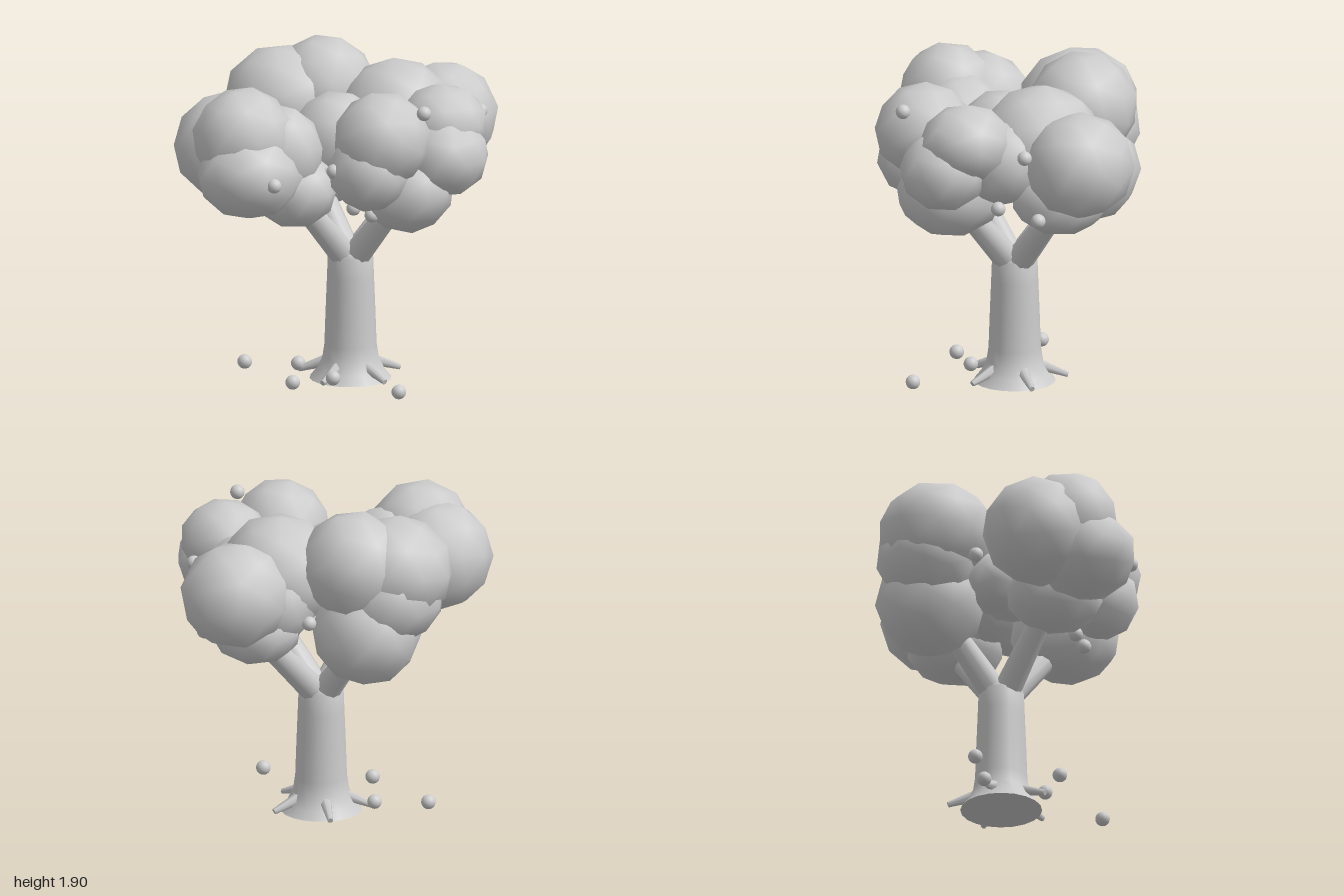
import * as THREE from 'three';

const grey = new THREE.MeshStandardMaterial({ color: 0xcccccc });
grey.name = 'plain grey';

export function createModel() {
  const tree = new THREE.Group();
  tree.name = 'tree';
  const add = (name, geometry, parent = tree) => {
    const mesh = new THREE.Mesh(geometry, grey);
    mesh.name = name;
    parent.add(mesh);
    return mesh;
  };
  const group = (name) => {
    const g = new THREE.Group();
    g.name = name;
    tree.add(g);
    return g;
  };
  const UP = new THREE.Vector3(0, 1, 0);
  // Tapered limb between two points
  const limb = (name, from, to, r0, r1, sides, parent) => {
    const a = new THREE.Vector3(...from), b = new THREE.Vector3(...to);
    const dir = b.clone().sub(a);
    const mesh = add(name, new THREE.CylinderGeometry(r1, r0, dir.length(), sides), parent);
    mesh.position.copy(a).add(b).multiplyScalar(0.5);
    mesh.quaternion.setFromUnitVectors(UP, dir.normalize());
  };

  // Trunk with flared foot and closed underside
  const cx = 0.045;
  const outline = [[0.235, 0], [0.195, 0.05], [0.162, 0.12], [0.15, 0.2], [0.143, 0.4], [0.135, 0.6], [0.13, 0.73], [0.1, 0.77], [0, 0.79]];
  add('trunk', new THREE.LatheGeometry(outline.map(([r, y]) => new THREE.Vector2(r, y)), 20)).position.x = cx;
  const base = add('trunkBase', new THREE.CircleGeometry(0.235, 20));
  base.rotation.x = Math.PI / 2;
  base.position.x = cx;

  // Root spurs
  const roots = group('roots');
  for (let i = 0; i < 5; i++) {
    const a = (i / 5) * Math.PI * 2;
    const at = (r, y) => [cx + Math.cos(a) * r, y, Math.sin(a) * r];
    limb('root', at(0.14, 0.09), at(0.305, 0.03), 0.036, 0.017, 6, roots);
  }

  // Branches
  const branches = group('branches');
  for (const [x, y, z] of [[-0.4, 1.2, 0.16], [0.2, 1.15, 0.4], [0.55, 1.2, -0.12], [-0.03, 1.15, -0.4]]) {
    limb('branch', [cx, 0.68, 0], [x, y, z], 0.085, 0.06, 10, branches);
  }

  // Foliage clumps: x, y, z, then radii
  const clusters = {
    leftSideFoliage: [
      [-0.68, 1.33, 0.25, 0.3, 0.25, 0.29], [-0.68, 1.52, 0.15, 0.29, 0.29, 0.28],
      [-0.69, 1.43, -0.04, 0.31, 0.31, 0.31], [-0.46, 1.42, 0.16, 0.24, 0.27, 0.27],
      [-0.38, 1.2, 0.17, 0.24, 0.22, 0.28],
    ],
    frontFoliage: [
      [0.02, 1.54, 0.54, 0.27, 0.27, 0.28], [0.44, 1.57, 0.43, 0.25, 0.22, 0.26],
      [0.2, 1.22, 0.44, 0.27, 0.26, 0.31], [0.4, 1.41, 0.55, 0.25, 0.23, 0.25],
      [-0.06, 1.36, 0.54, 0.23, 0.23, 0.24], [0.43, 1.44, 0.2, 0.23, 0.25, 0.24],
    ],
    rightSideFoliage: [
      [0.69, 1.45, -0.17, 0.31, 0.3, 0.31], [0.35, 1.5, -0.05, 0.33, 0.33, 0.35],
      [0.53, 1.22, -0.11, 0.26, 0.21, 0.28], [0.45, 1.38, -0.13, 0.27, 0.27, 0.28],
    ],
    backFoliage: [
      [0.05, 1.6, -0.41, 0.3, 0.31, 0.31], [-0.19, 1.56, -0.47, 0.32, 0.3, 0.34],
      [-0.01, 1.21, -0.45, 0.305, 0.31, 0.31], [-0.14, 1.42, -0.51, 0.3, 0.27, 0.29],
    ],
    middleFoliage: [
      [-0.05, 1.44, 0.04, 0.27, 0.26, 0.26], [-0.22, 1.3, -0.12, 0.2, 0.18, 0.2],
    ],
  };
  let n = 0;
  for (const [name, clumps] of Object.entries(clusters)) {
    const g = group(name);
    for (const [x, y, z, rx, ry, rz] of clumps) {
      const ball = new THREE.IcosahedronGeometry(1.03, 1);
      ball.rotateX(n * 1.3).rotateY(n * 2.1);
      ball.scale(rx, ry, rz);
      add('foliageClump', ball, g).position.set(x, y, z);
      n++;
    }
  }

  // Fruit in the crown and fallen on the ground
  const fruitShape = new THREE.SphereGeometry(0.042, 16, 12);
  const hanging = [
    [-0.65, 1.33, 0.54], [0.2, 1.72, 0.73], [0.77, 1.55, 0.19], [0.75, 1.16, 0.1], [0.54, 1.19, 0.27],
    [-0.1, 1.11, 0.4], [-0.02, 1.08, 0.48], [-0.28, 1.38, 0.54], [-0.22, 1.3, 0.32],
    [-0.48, 1.33, -0.34], [0.32, 1.28, -0.37],
  ];
  const fallen = [[-0.47, 0.06, -0.34], [-0.395, 0.06, 0.2], [-0.2, 0.06, -0.19], [-0.145, 0.06, 0.2], [0.085, 0.06, 0.63]];
  for (const [name, spots] of [['hangingFruit', hanging], ['fallenFruit', fallen]]) {
    const g = group(name);
    for (const p of spots) add('fruit', fruitShape, g).position.set(...p);
  }
  return tree;
}
